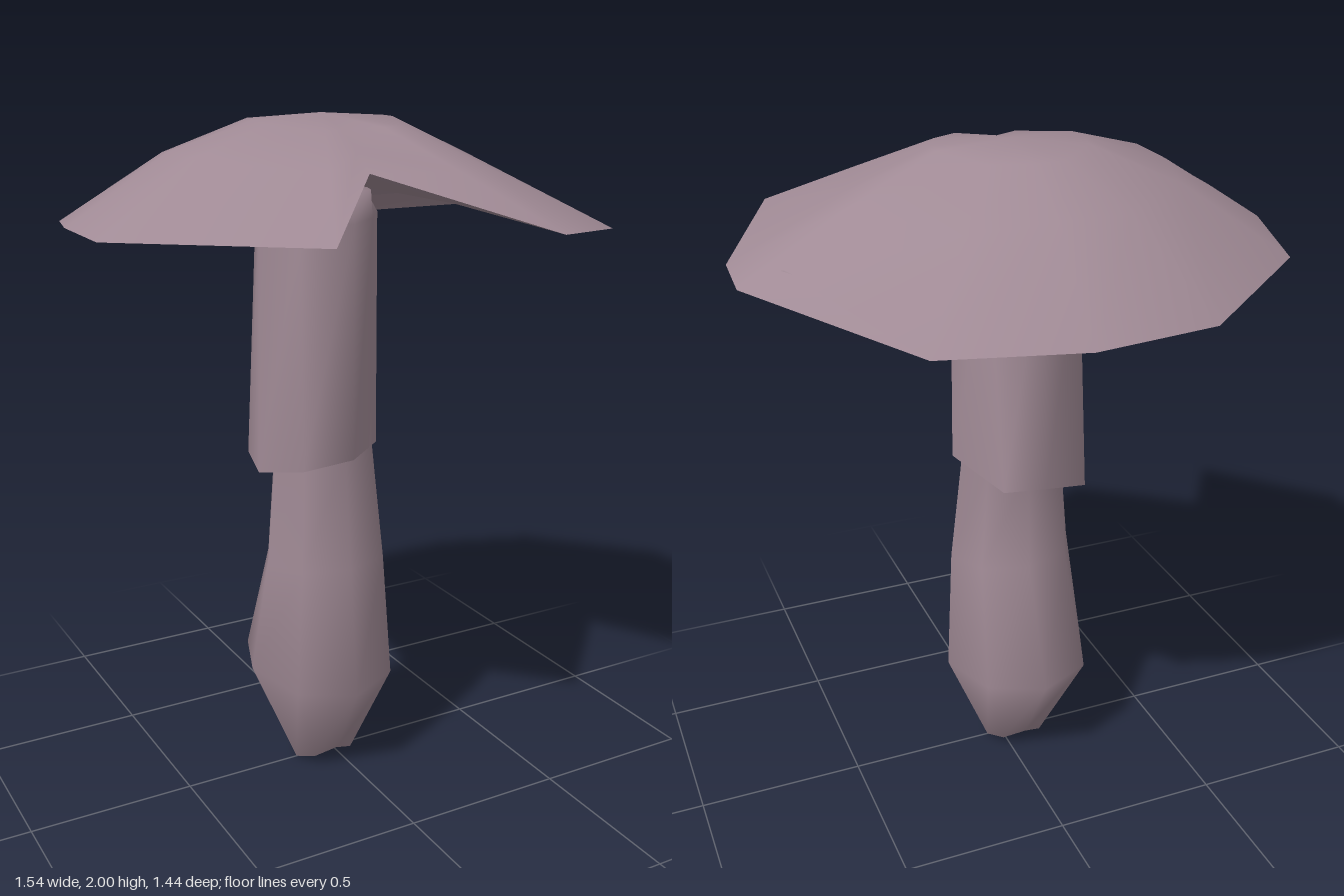
import * as THREE from 'three';

// Skin a stack of point rings (each running +x, +z, -x, -z); a one-point ring closes an end.
function loft(rings, name, material) {
  const positions = [], index = [], starts = [];
  for (const ring of rings) {
    starts.push(positions.length / 3);
    for (const p of ring) positions.push(...p);
  }
  for (let r = 0; r < rings.length - 1; r++) {
    const n = Math.max(rings[r].length, rings[r + 1].length);
    const at = (row, i) => starts[row] + (i % n) % rings[row].length;
    for (let i = 0; i < n; i++) {
      const a = at(r, i), b = at(r, i + 1), c = at(r + 1, i), d = at(r + 1, i + 1);
      if (a !== b) index.push(a, c, b);
      if (c !== d) index.push(b, c, d);
    }
  }
  const geometry = new THREE.BufferGeometry();
  geometry.setAttribute('position', new THREE.Float32BufferAttribute(positions, 3));
  geometry.setIndex(index);
  geometry.computeVertexNormals();
  const mesh = new THREE.Mesh(geometry, material);
  mesh.name = name;
  return mesh;
}

// Eight-sided ring from its extents in x and z
function oval(x0, x1, z0, z1, y, bend = () => 0) {
  return Array.from({ length: 8 }, (_, i) => {
    const a = i * Math.PI / 4, c = Math.cos(a), s = Math.sin(a);
    return [(x0 + x1) / 2 + c * (x1 - x0) / 2, y + bend(c, s), (z0 + z1) / 2 + s * (z1 - z0) / 2];
  });
}

export function createModel() {
  const group = new THREE.Group();
  group.name = 'mushroom';
  const flesh = new THREE.MeshStandardMaterial({ color: 0xa08a95, side: THREE.DoubleSide });
  flesh.name = 'dusky mauve';

  // Cap: notched rim, shoulder and crown rings
  const rim = [
    [0.77, 1.70, -0.14], [0.755, 1.70, 0.07], [0.53, 1.72, 0.59], [0.27, 1.74, 0.72],
    [-0.07, 1.87, 0.33], [-0.35, 1.745, 0.66], [-0.775, 1.73, 0.21], [-0.75, 1.72, -0.12],
    [-0.67, 1.695, -0.42], [-0.28, 1.66, -0.72], [0.05, 1.64, -0.72], [0.42, 1.63, -0.60],
  ];
  const shoulderY = [1.87, 1.87, 1.86, 1.87, 1.92, 1.88, 1.905, 1.91, 1.89, 1.88, 1.88, 1.85];
  const crownY = [1.985, 1.985, 1.97, 1.97, 1.965, 1.965, 1.98, 1.985, 1.985, 1.97, 1.97, 1.97];
  const inset = (f, heights) => rim.map(([x, , z], i) => {
    const g = i === 4 ? f + 0.15 : f;
    return [x * g, heights[i], -0.06 + (z + 0.06) * g];
  });
  group.add(loft([rim, inset(0.6, shoulderY), inset(0.28, crownY), [[0, 2, -0.07]]], 'capTop', flesh));

  // Underside: a sloping lip just below the dome, then a shallow ceiling
  const lip = [
    [0.66, 1.745, -0.17], [0.63, 1.75, 0.09], [0.48, 1.755, 0.51], [0.27, 1.765, 0.62],
    [-0.07, 1.855, 0.31], [-0.34, 1.76, 0.59], [-0.70, 1.75, 0.15], [-0.68, 1.74, -0.13],
    [-0.61, 1.725, -0.39], [-0.27, 1.705, -0.64], [0.05, 1.705, -0.62], [0.35, 1.69, -0.53],
  ];
  const ceiling = lip.map(([x, y, z], i) => [x * 0.5, i === 4 ? 1.84 : y * 0.3 + 1.26, z * 0.5]);
  group.add(loft([lip, rim], 'capLip', flesh));
  group.add(loft([[[-0.02, 1.82, 0]], ceiling, lip], 'capCeiling', flesh));

  // Stalk: pinched foot, swollen bulb, slim neck
  group.add(loft([
    [[-0.04, 0, 0]],
    oval(-0.13, 0.05, -0.11, 0.11, 0, (c, s) => 0.065 * s * s),
    oval(-0.27, 0.19, -0.27, 0.23, 0.34, (c, s) => -0.04 * Math.max(s, 0)),
    oval(-0.235, 0.155, -0.13, 0.19, 0.70),
    oval(-0.2, 0.12, -0.12, 0.155, 1.04),
    oval(-0.17, 0.1, -0.12, 0.14, 1.6),
  ], 'stalk', flesh));

  // Skirt: open sleeve with an uneven hem, flattened at its front left corner
  const collar = oval(-0.23, 0.15, -0.2, 0.2, 1.72);
  collar[1] = [0.07, 1.72, 0.11];
  const hem = [
    [0.17, 1.08, -0.04], [0.1, 1.05, 0.09], [-0.03, 1.04, 0.185], [-0.18, 1.02, 0.16],
    [-0.255, 0.99, 0.02], [-0.19, 0.985, -0.19], [-0.04, 1.03, -0.25], [0.1, 1.055, -0.27],
  ];
  group.add(loft([
    hem,
    collar,
    oval(-0.19, 0.1, -0.17, 0.17, 1.80),
    [[-0.04, 1.82, 0]],
  ], 'skirt', flesh));

  return group;
}
